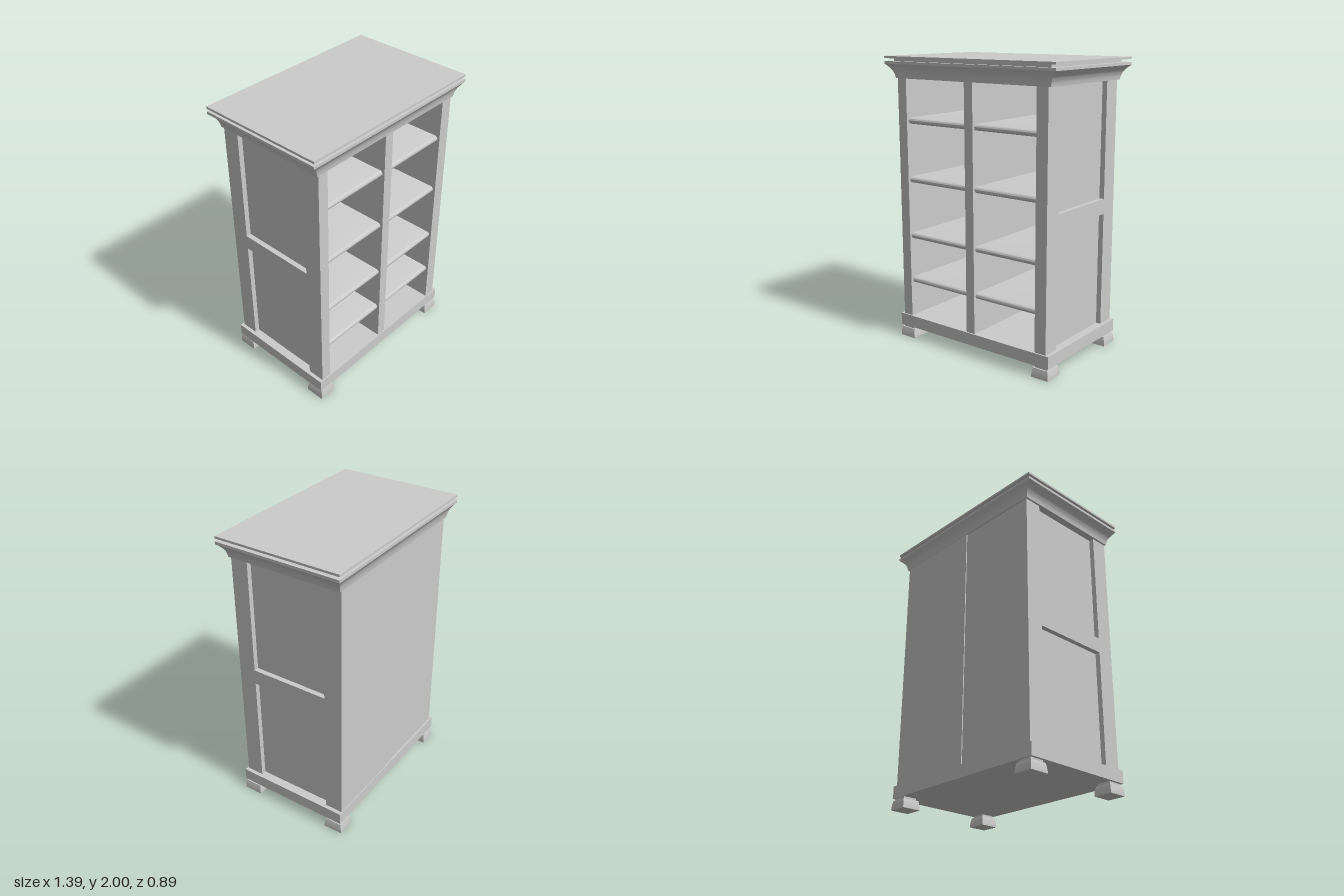
import * as THREE from 'three';
import { toCreasedNormals } from 'three/addons/utils/BufferGeometryUtils.js';

const material = new THREE.MeshStandardMaterial({ color: 0xcccccc });

function add(parent, name, geometry) {
  const mesh = new THREE.Mesh(geometry, material);
  mesh.name = name;
  parent.add(mesh);
  return mesh;
}

// Box given by its limits on each axis
function box(parent, name, [x0, x1], [y0, y1], [z0, z1]) {
  const g = new THREE.BoxGeometry(x1 - x0, y1 - y0, z1 - z0);
  g.translate((x0 + x1) / 2, (y0 + y1) / 2, (z0 + z1) / 2);
  return add(parent, name, g);
}

// Rectangular loft: rings of [half width, y, half depth], bottom to top, capped
function rectLoft(rings) {
  const corners = [[1, 1], [1, -1], [-1, -1], [-1, 1]];
  const pos = [];
  const point = ([w, y, d], c) => [corners[c % 4][0] * w, y, corners[c % 4][1] * d];
  const quad = (a, b, c, d) => pos.push(...a, ...b, ...c, ...a, ...c, ...d);
  for (let i = 0; i < rings.length - 1; i++) {
    for (let c = 0; c < 4; c++) {
      quad(point(rings[i], c), point(rings[i], c + 1), point(rings[i + 1], c + 1), point(rings[i + 1], c));
    }
  }
  const bottom = rings[0], top = rings[rings.length - 1];
  quad(point(bottom, 3), point(bottom, 2), point(bottom, 1), point(bottom, 0));
  quad(point(top, 0), point(top, 1), point(top, 2), point(top, 3));
  const g = new THREE.BufferGeometry();
  g.setAttribute('position', new THREE.Float32BufferAttribute(pos, 3));
  return toCreasedNormals(g, 0.5);
}

// Shelf with a half-round front edge, extruded across its bay
function shelfGeometry(x0, x1, y, thickness, back, front) {
  const r = thickness / 2;
  const s = new THREE.Shape();
  s.moveTo(back, y - r);
  s.lineTo(front - r, y - r);
  s.absarc(front - r, y, r, -Math.PI / 2, Math.PI / 2, false);
  s.lineTo(back, y + r);
  s.closePath();
  const g = new THREE.ExtrudeGeometry(s, { depth: x1 - x0, bevelEnabled: false, curveSegments: 12 });
  g.rotateY(-Math.PI / 2);
  g.translate(x1, 0, 0);
  return toCreasedNormals(g, 0.6);
}

export function createModel() {
  const model = new THREE.Group();
  model.name = 'bookcase';
  const low = 0.165, high = 1.852;

  // Plinth
  box(model, 'plinth', [-0.645, 0.642], [0.08, low], [-0.41, 0.412]);

  // Flared feet with short necks
  for (const sx of [-1, 1]) {
    for (const sz of [-1, 1]) {
      const foot = new THREE.Group();
      foot.name = 'foot';
      foot.position.set(sx * 0.58, 0, sz * 0.349);
      add(foot, 'footBlock', rectLoft([
        [0.065, 0, 0.068], [0.065, 0.012, 0.068], [0.062, 0.04, 0.065], [0.056, 0.064, 0.06],
      ]));
      box(foot, 'footNeck', [-0.046, 0.046], [0.06, 0.082], [-0.05, 0.05]);
      model.add(foot);
    }
  }

  // Sides: recessed panel framed by two stiles and a middle rail
  const sides = [
    { name: 'rightSide', outer: -0.62, inner: -0.545 },
    { name: 'leftSide', outer: 0.615, inner: 0.53 },
  ];
  for (const { name, outer, inner } of sides) {
    const side = new THREE.Group();
    side.name = name;
    const recess = outer - Math.sign(outer) * 0.035;
    const span = (a, b) => [Math.min(a, b), Math.max(a, b)];
    box(side, 'sidePanel', span(inner, recess), [low, high], [-0.275, 0.28]);
    box(side, 'frontStile', span(inner, outer), [low, high], [0.28, 0.402]);
    box(side, 'backStile', span(inner, outer), [low, high], [-0.385, -0.275]);
    box(side, 'middleRail', span(recess, outer), [0.955, 1.06], [-0.275, 0.28]);
    model.add(side);
  }

  // Centre divider
  box(model, 'divider', [-0.035, 0.033], [low, high], [-0.385, 0.402]);

  // Two back boards, one standing slightly proud of the other
  box(model, 'leftBackBoard', [-0.035, 0.615], [low, high], [-0.403, -0.385]);
  box(model, 'rightBackBoard', [-0.62, -0.035], [low, high], [-0.396, -0.385]);

  // Shelves in both bays
  for (const [x0, x1] of [[-0.545, -0.035], [0.033, 0.53]]) {
    for (const y of [0.43, 0.755, 1.157, 1.566]) {
      add(model, 'shelf', shelfGeometry(x0, x1, y, 0.042, -0.385, 0.385));
    }
  }

  // Cornice: concave moulding rising to a flat fascia
  const rings = [[0.634, 1.852, 0.406], [0.637, 1.868, 0.408]];
  const cove = new THREE.CubicBezierCurve(
    new THREE.Vector2(0, 1.872), new THREE.Vector2(0.14, 1.905),
    new THREE.Vector2(0.5, 1.925), new THREE.Vector2(1, 1.948));
  for (const p of cove.getPoints(10)) rings.push([0.638 + 0.058 * p.x, p.y, 0.409 + 0.038 * p.x]);
  rings.push([0.696, 1.966, 0.447]);
  add(model, 'cornice', rectLoft(rings));

  // Top board above a narrow reveal
  box(model, 'topReveal', [-0.642, 0.64], [1.964, 1.987], [-0.412, 0.412]);
  box(model, 'topBoard', [-0.697, 0.695], [1.985, 2], [-0.447, 0.447]);

  return model;
}
